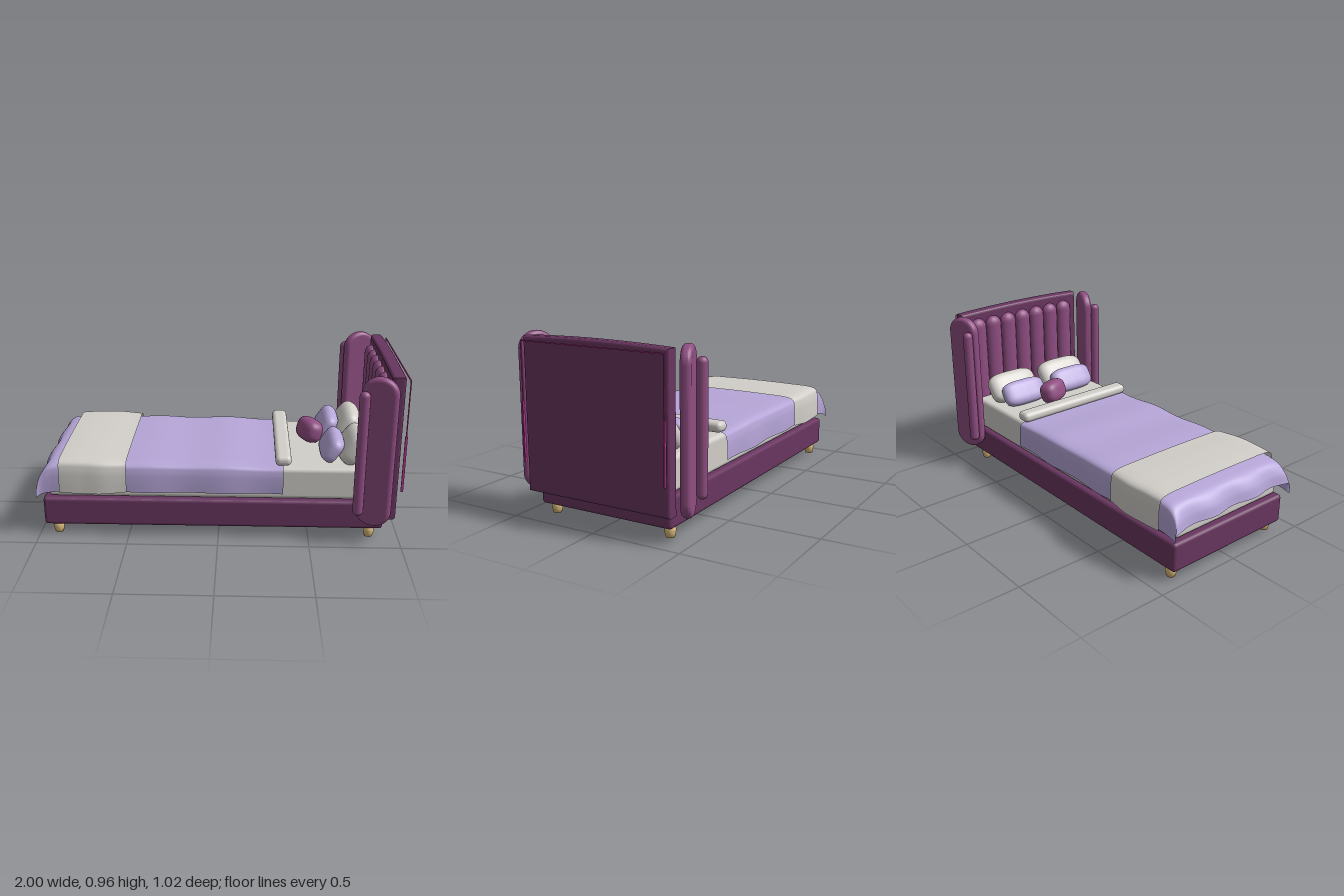
import * as THREE from 'three';
import { RoundedBoxGeometry } from 'three/addons/geometries/RoundedBoxGeometry.js';

const mat = (name, color, side = THREE.FrontSide) => {
  const m = new THREE.MeshStandardMaterial({ color, side });
  m.name = name;
  return m;
};

export function createModel() {
  const group = new THREE.Group();
  const darkPlum = mat('darkPlum', 0x693660);
  const plum = mat('plum', 0x8f4e82);
  const magenta = mat('magenta', 0xb8378f);
  const linen = mat('linen', 0xd2cfca, THREE.DoubleSide);
  const lavender = mat('lavender', 0xb6a6d8, THREE.DoubleSide);
  const wood = mat('paleWood', 0xd8b878);

  const add = (name, geo, material, x = 0, y = 0, z = 0) => {
    const m = new THREE.Mesh(geo, material);
    m.name = name;
    m.position.set(x, y, z);
    group.add(m);
    return m;
  };
  const rbox = (w, h, d, r) => new RoundedBoxGeometry(w, h, d, 4, r);

  // Legs: small barrel feet
  const legProfile = [[0, 0], [0.023, 0], [0.028, 0.02], [0.03, 0.038], [0.026, 0.065], [0, 0.065]]
    .map(([x, y]) => new THREE.Vector2(x, y));
  for (const x of [-0.9, 0.84]) for (const z of [-0.352, 0.352])
    add('leg', new THREE.LatheGeometry(legProfile, 20), wood, x, 0, z);

  // Upholstered base and mattress
  add('base', rbox(1.88, 0.165, 0.8, 0.02), darkPlum, -0.03, 0.143, 0);
  add('mattress', rbox(1.82, 0.185, 0.755, 0.025), linen, -0.03, 0.318, 0);

  // Headboard panel with a slightly bowed top edge
  const panel = new THREE.Shape();
  panel.moveTo(-0.415, 0.155);
  panel.lineTo(0.415, 0.155);
  panel.lineTo(0.415, 0.935);
  panel.quadraticCurveTo(0, 0.955, -0.415, 0.935);
  const panelGeo = new THREE.ExtrudeGeometry(panel, {
    depth: 0.04, bevelThickness: 0.015, bevelSize: 0.015, bevelSegments: 3, curveSegments: 16,
  });
  panelGeo.rotateY(Math.PI / 2);
  add('headboardPanel', panelGeo, darkPlum, 0.915, 0, 0);

  // Vertical padded channels
  for (let i = -3; i <= 3; i++) {
    const channel = new THREE.CapsuleGeometry(0.053, 0.6, 8, 16);
    channel.scale(0.75, 1, 1);
    add('headboardChannel', channel, plum, 0.895, 0.56, i * 0.108);
  }

  // Angled side wings, each with a padded roll on its front edge
  const wing = new THREE.Shape();
  wing.absarc(0, 0.335, 0.068, 0, Math.PI);
  wing.absarc(0, -0.335, 0.068, Math.PI, Math.PI * 2);
  const wingGeo = new THREE.ExtrudeGeometry(wing, {
    depth: 0.012, bevelThickness: 0.022, bevelSize: 0.022, bevelSegments: 5, curveSegments: 16,
  });
  wingGeo.scale(1.08, 0.99, 1);
  wingGeo.translate(0, 0, -0.006);
  for (const s of [-1, 1]) {
    const w = add('headboardWing', wingGeo, plum, 0.838, 0.54, s * 0.455);
    w.rotation.y = -s * 0.37;
    add('wingRoll', new THREE.CapsuleGeometry(0.029, 0.645, 8, 16), plum, 0.754, 0.54, s * 0.481);
  }

  // Piping outline behind the headboard
  add('pipingTop', new THREE.BoxGeometry(0.006, 0.006, 0.842), magenta, 0.993, 0.93, 0);
  for (const s of [-1, 1]) {
    add('pipingSide', new THREE.BoxGeometry(0.006, 0.32, 0.005), magenta, 0.993, 0.77, s * 0.419);
    add('pipingLower', new THREE.BoxGeometry(0.013, 0.32, 0.008), magenta, 0.993, 0.463, s * 0.421);
  }

  // Cloth draped across the bed: stations are [x, top, hem, half width]
  const half = [[1, 0], [1, 0.4], [0.99, 0.72], [0.96, 0.9], [0.88, 0.97], [0.5, 1]];
  const section = new THREE.CatmullRomCurve3([
    ...half.map(([z, h]) => new THREE.Vector3(-z, h, 0)),
    new THREE.Vector3(0, 1.01, 0),
    ...half.slice().reverse().map(([z, h]) => new THREE.Vector3(z, h, 0)),
  ]).getPoints(60);
  const drape = (stations, ripple) => {
    const path = new THREE.CatmullRomCurve3(stations.map(([x, t, h]) => new THREE.Vector3(x, t, h)));
    const widths = new THREE.CatmullRomCurve3(stations.map(([x, , , w]) => new THREE.Vector3(x, w, 0)));
    const n = 60, cols = section.length, pos = [], idx = [];
    for (let i = 0; i <= n; i++) {
      const p = path.getPoint(i / n), w = widths.getPoint(i / n).y;
      section.forEach((q, j) => {
        const wave = ripple * Math.sin(p.x * 15 + 1);
        const z = q.x * (w + wave * (1 - 0.5 * q.y));
        const end = Math.max(0, (-0.93 - p.x) / 0.07);
        pos.push(p.x + end * 0.013 * Math.cos(z * 22), p.z + (p.y - p.z) * q.y + wave * 0.5 * q.y, z);
        if (i < n && j < cols - 1) {
          const a = i * cols + j, b = a + cols;
          idx.push(a, a + 1, b, b, a + 1, b + 1);
        }
      });
    }
    const g = new THREE.BufferGeometry();
    g.setAttribute('position', new THREE.Float32BufferAttribute(pos, 3));
    g.setIndex(idx);
    g.computeVertexNormals();
    return g;
  };
  add('blanket', drape([
    [-0.987, 0.31, 0.235, 0.43], [-0.972, 0.37, 0.25, 0.418], [-0.935, 0.418, 0.262, 0.41],
    [-0.86, 0.433, 0.27, 0.405], [-0.5, 0.435, 0.27, 0.405], [0, 0.434, 0.27, 0.405], [0.355, 0.425, 0.27, 0.405],
  ], 0.007), lavender);
  add('throwBlanket', drape([
    [-0.87, 0.455, 0.268, 0.415], [-0.75, 0.459, 0.268, 0.424], [-0.63, 0.46, 0.268, 0.434],
    [-0.5, 0.452, 0.275, 0.416],
  ], 0.004), linen);
  add('sheetFold', rbox(0.088, 0.058, 0.765, 0.026), linen, 0.355, 0.45, -0.003);

  // Cushions: spheres squared off into soft pillows
  const cushion = (w, h, d, power) => {
    const g = new THREE.SphereGeometry(1, 36, 24), p = g.attributes.position;
    const soft = (v, e) => Math.sign(v) * Math.pow(Math.abs(v), e);
    for (let i = 0; i < p.count; i++) {
      p.setXYZ(i, soft(p.getX(i), 0.8) * w / 2, soft(p.getY(i), power) * h / 2, soft(p.getZ(i), power) * d / 2);
    }
    g.computeVertexNormals();
    return g;
  };
  for (const s of [-1, 1]) {
    add('pillow', cushion(0.115, 0.19, 0.325, 0.55), linen, 0.745, 0.485, s * 0.187).rotation.z = -0.65;
    add('smallPillow', cushion(0.095, 0.155, 0.29, 0.55), lavender, 0.628, 0.478, s * 0.182).rotation.z = -0.6;
  }
  const accent = add('accentCushion', cushion(0.12, 0.135, 0.19, 0.7), plum, 0.52, 0.48, -0.038);
  accent.rotation.set(0, 0.4, -0.3);

  return group;
}
